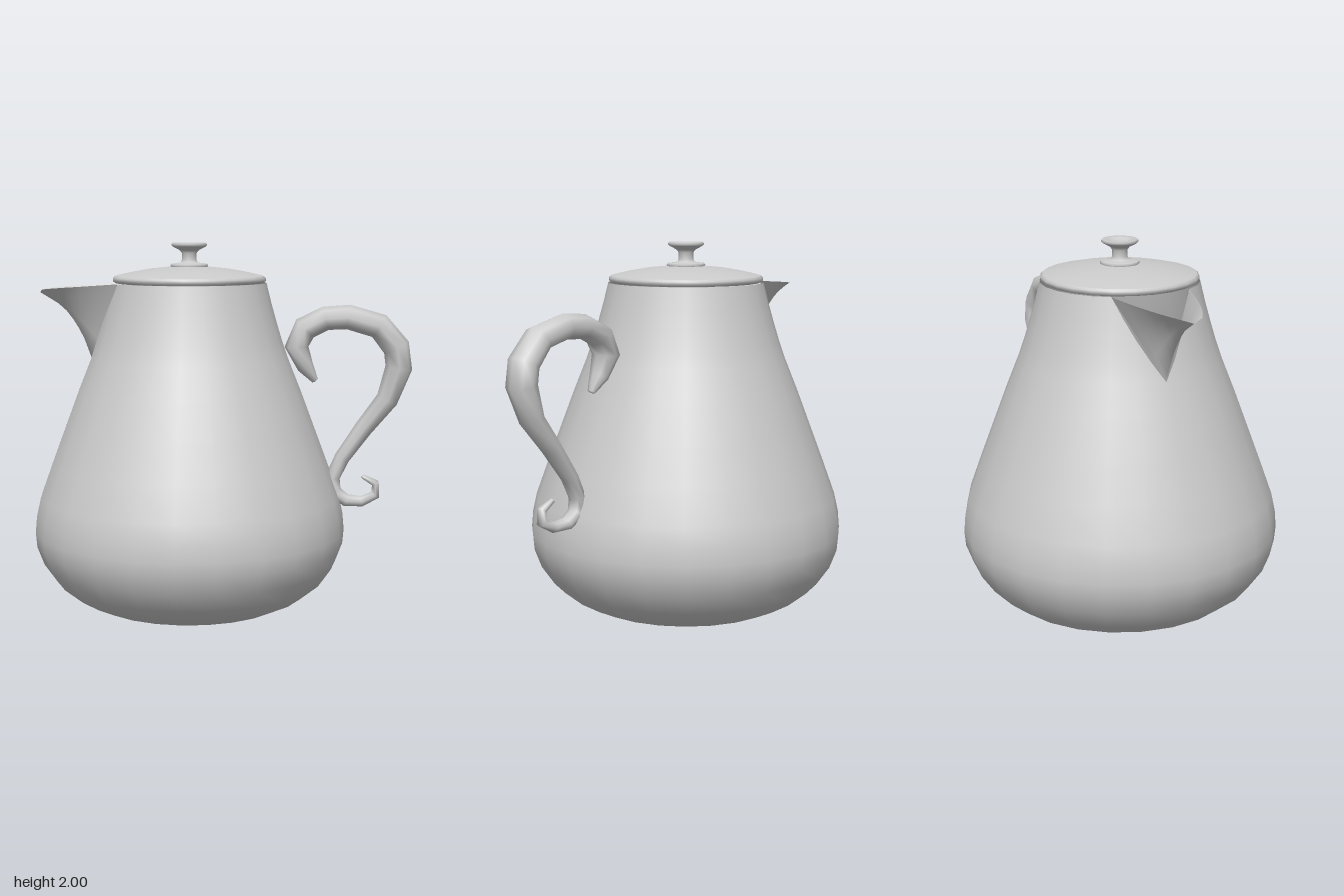
import * as THREE from 'three';

const material = new THREE.MeshStandardMaterial({ color: 0xcccccc, side: THREE.DoubleSide });

function part(name, geometry) {
  const mesh = new THREE.Mesh(geometry, material);
  mesh.name = name;
  return mesh;
}

// Lathe from [radius, y] pairs; a repeated pair makes a sharp edge.
// The seam lies on -x, under the spout.
function lathe(profile, segments = 24) {
  return new THREE.LatheGeometry(profile.map(([r, y]) => new THREE.Vector2(r, y)), segments, -Math.PI / 2);
}

// Smooth skin over rows of points, optionally closed around each row.
function skin(rows, closed) {
  const n = rows[0].length;
  const index = [];
  for (let i = 0; i < rows.length - 1; i++) {
    for (let j = 0; j < (closed ? n : n - 1); j++) {
      const k = (j + 1) % n;
      const a = i * n + j, b = i * n + k, c = a + n, d = b + n;
      index.push(a, b, c, b, d, c);
    }
  }
  const geometry = new THREE.BufferGeometry();
  geometry.setAttribute('position', new THREE.Float32BufferAttribute(rows.flat(2), 3));
  geometry.setIndex(index);
  geometry.computeVertexNormals();
  return geometry;
}

// Pot wall with a V notch cut in the rim where the spout opens.
function bodyGeometry() {
  const geometry = lathe([
    [0, 0], [0.4, 0.003], [0.53, 0.018], [0.64, 0.07], [0.74, 0.15], [0.81, 0.25], [0.848, 0.35],
    [0.855, 0.43], [0.847, 0.52], [0.825, 0.62], [0.76, 0.8], [0.685, 1.0], [0.61, 1.2],
    [0.542, 1.37], [0.507, 1.47], [0.474, 1.58], [0.446, 1.68], [0.42, 1.785],
  ]);
  const { position, normal, uv } = geometry.attributes;
  const up = new THREE.Vector3(0, 1, 0);
  const v = new THREE.Vector3();
  for (let i = 0; i < position.count; i++) {
    const y = position.getY(i);
    if (y <= 1.37) continue;
    const notch = 0.54 * (y - 1.37) / 0.415;
    const phi = uv.getX(i) * 2 * Math.PI;
    const turn = THREE.MathUtils.clamp(phi, notch, 2 * Math.PI - notch) - phi;
    for (const attribute of [position, normal]) {
      v.fromBufferAttribute(attribute, i).applyAxisAngle(up, turn);
      attribute.setXYZ(i, v.x, v.y, v.z);
    }
  }
  return geometry;
}

// Open pouring lip: V sections from the notch out to the tip.
function spoutGeometry() {
  const curve = (points) => new THREE.CatmullRomCurve3(points.map((p) => new THREE.Vector3(...p)));
  const keel = curve([[-0.54, 1.37, 0], [-0.595, 1.51, 0], [-0.69, 1.645, 0], [-0.82, 1.73, 0]]);
  const rim = curve([[-0.362, 1.785, 0.218], [-0.55, 1.77, 0.165], [-0.7, 1.758, 0.108], [-0.8, 1.748, 0.055]]);
  const rows = [];
  for (let i = 0; i <= 8; i++) {
    const k = keel.getPoint(i / 8), r = rim.getPoint(i / 8);
    const row = [];
    for (let j = -4; j <= 4; j++) {
      const p = k.clone().lerp(r, Math.abs(j) / 4);
      row.push([p.x, p.y, Math.sign(j) * p.z]);
    }
    rows.push(row);
  }
  return skin(rows, false);
}

// Curled handle: oval rings along a hooked path, [x, y, radius].
function handleGeometry() {
  const path = [
    [0.69, 1.25, 0], [0.688, 1.255, 0.018], [0.635, 1.33, 0.045], [0.585, 1.44, 0.065], [0.63, 1.54, 0.068],
    [0.74, 1.595, 0.065], [0.864, 1.603, 0.067], [1.03, 1.555, 0.07], [1.125, 1.44, 0.073],
    [1.14, 1.33, 0.073], [1.08, 1.155, 0.06], [0.955, 0.995, 0.05], [0.84, 0.83, 0.042],
    [0.79, 0.72, 0.04], [0.8, 0.64, 0.04], [0.865, 0.593, 0.035], [0.95, 0.588, 0.03],
    [1.025, 0.625, 0.027], [1.025, 0.69, 0.022], [0.955, 0.728, 0.012], [0.95, 0.73, 0],
  ];
  const rows = path.map(([x, y, radius], i) => {
    const a = path[Math.max(i - 1, 0)], b = path[Math.min(i + 1, path.length - 1)];
    const length = Math.hypot(b[0] - a[0], b[1] - a[1]);
    const nx = -(b[1] - a[1]) / length, ny = (b[0] - a[0]) / length;
    return Array.from({ length: 8 }, (_, j) => {
      const c = radius * Math.cos(j * Math.PI / 4);
      const s = 1.25 * radius * Math.sin(j * Math.PI / 4);
      return [x + nx * c, y + ny * c, s];
    });
  });
  return skin(rows, true);
}

export function createModel() {
  const pot = new THREE.Group();
  pot.name = 'pot';
  pot.position.x = -0.125;
  pot.rotation.y = 0.455;

  const lid = lathe([
    [0, 1.785], [0.4, 1.785], [0.4, 1.785], [0.416, 1.795], [0.416, 1.812], [0.405, 1.822],
    [0.405, 1.822], [0.32, 1.842], [0.22, 1.86], [0.1, 1.872], [0, 1.875],
  ]);
  const knob = lathe([
    [0.098, 1.868], [0.104, 1.878], [0.098, 1.888], [0.07, 1.89], [0.07, 1.89], [0.046, 1.895], [0.04, 1.91],
    [0.04, 1.945], [0.052, 1.96], [0.09, 1.98], [0.098, 1.99], [0.092, 2], [0.065, 1.998],
    [0.055, 1.99], [0.04, 1.984], [0, 1.982],
  ]);

  pot.add(
    part('body', bodyGeometry()),
    part('spout', spoutGeometry()),
    part('handle', handleGeometry()),
    part('lid', lid),
    part('lidKnob', knob),
  );

  const model = new THREE.Group();
  model.name = 'pitcher';
  model.add(pot);
  return model;
}
